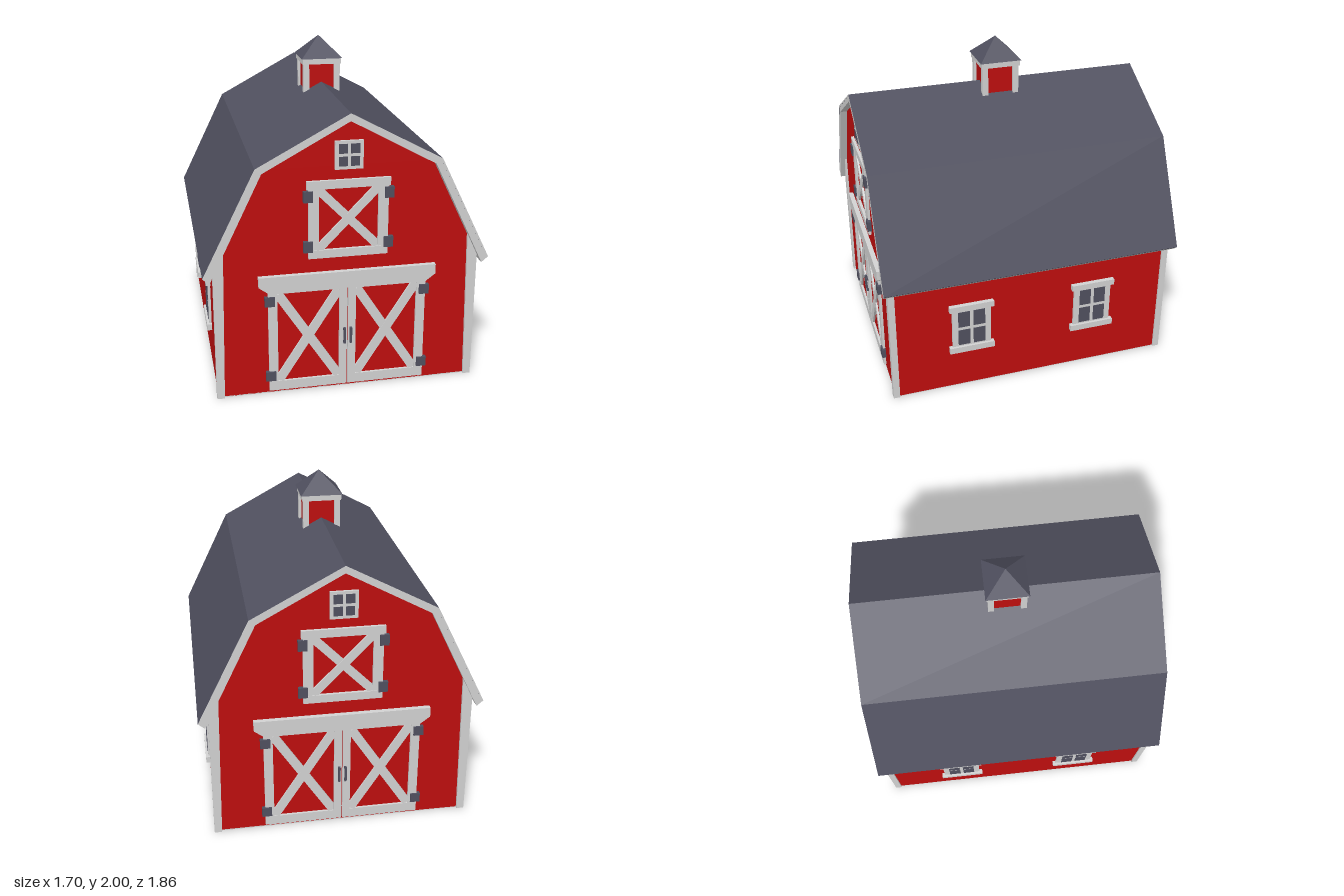
import * as THREE from 'three';

const material = (name, color) => {
  const m = new THREE.MeshStandardMaterial({ color });
  m.name = name;
  return m;
};

export function createModel() {
  const red = material('barn red', 0xbe0e0e);
  const white = material('trim white', 0xd2d2d2);
  const slate = material('slate', 0x50505f);

  const add = (parent, name, geometry, mat) => {
    const mesh = new THREE.Mesh(geometry, mat);
    mesh.name = name;
    parent.add(mesh);
    return mesh;
  };
  // Box given by its limits
  const box = (parent, name, mat, x0, x1, y0, y1, z0, z1) => {
    const mesh = add(parent, name, new THREE.BoxGeometry(x1 - x0, y1 - y0, z1 - z0), mat);
    mesh.position.set((x0 + x1) / 2, (y0 + y1) / 2, (z0 + z1) / 2);
    return mesh;
  };
  // Profile in x, y extruded from z0 to z1
  const prism = (parent, name, mat, points, z0, z1) => {
    const shape = new THREE.Shape(points.map(([x, y]) => new THREE.Vector2(x, y)));
    const mesh = add(parent, name,
      new THREE.ExtrudeGeometry(shape, { depth: z1 - z0, bevelEnabled: false }), mat);
    mesh.position.z = z0;
    return mesh;
  };
  // Diagonal board between two points
  const brace = (parent, x0, y0, x1, y1, width, z0, z1) => {
    const length = Math.hypot(x1 - x0, y1 - y0);
    const mesh = add(parent, 'brace', new THREE.BoxGeometry(length, width, z1 - z0), white);
    mesh.position.set((x0 + x1) / 2, (y0 + y1) / 2, (z0 + z1) / 2);
    mesh.rotation.z = Math.atan2(y1 - y0, x1 - x0);
  };
  const cross = (parent, x0, x1, y0, y1, width, z0, z1) => {
    brace(parent, x0, y0, x1, y1, width, z0, z1);
    brace(parent, x0, y1, x1, y0, width, z0, z1 - 0.001);
  };
  // Four slate panes on a white backing
  const panes = (parent, cx, cy, w, h, gap, z) => {
    for (const sx of [-1, 1]) for (const sy of [-1, 1]) {
      const x = cx + sx * (w + gap) / 4, y = cy + sy * (h + gap) / 4;
      const pw = (w - gap) / 4, ph = (h - gap) / 4;
      box(parent, 'windowPane', slate, x - pw, x + pw, y - ph, y + ph, z, z + 0.004);
    }
  };

  const barn = new THREE.Group();
  barn.name = 'barn';

  // Walls and floor
  const mirrored = (half) => [...half, ...half.slice(0, -1).reverse().map(([x, y]) => [-x, y])];
  prism(barn, 'walls', red,
    mirrored([[0.78, 0.004], [0.78, 0.85], [0.51, 1.41], [0, 1.685]]), -0.885, 0.885);
  box(barn, 'floor', white, -0.78, 0.78, 0, 0.006, -0.885, 0.885);

  // Gambrel roof: slate skin over a white fascia layer
  const outer = [[0.85, 0.8], [0.54, 1.43], [0, 1.72]];
  const middle = [[0.843, 0.793], [0.533, 1.421], [0, 1.709]];
  const inner = [[0.81, 0.765], [0.503, 1.4], [0, 1.675]];
  const shell = (a, b) => [...mirrored(a), ...mirrored(b).reverse()];
  prism(barn, 'roof', [white, slate], shell(outer, middle), -0.93, 0.93);
  prism(barn, 'fascia', white, shell(middle, inner), -0.929, 0.929);

  // Gable wall details, the same at both ends
  const gable = (name) => {
    const g = new THREE.Group();
    g.name = name;
    const z = 0.88;
    for (const s of [-1, 1]) {
      prism(g, 'cornerBoard', white,
        [[0.745, 0], [0.79, 0], [0.79, 0.83], [0.725, 0.95]].map(([x, y]) => [s * x, y]), 0.86, 0.9);

      // Barn door leaf
      const door = new THREE.Group();
      door.name = 'barnDoor';
      g.add(door);
      const sides = (a, b) => (s > 0 ? [a, b] : [-b, -a]);
      box(door, 'innerStile', white, ...sides(0.003, 0.05), 0.02, 0.7, z, 0.9);
      box(door, 'outerStile', white, ...sides(0.42, 0.475), 0.02, 0.7, z, 0.9);
      box(door, 'bottomRail', white, ...sides(0.05, 0.42), 0.02, 0.08, z, 0.9);
      box(door, 'topRail', white, ...sides(0.05, 0.42), 0.655, 0.7, z, 0.9);
      cross(door, ...sides(0.055, 0.415), 0.085, 0.65, 0.055, z, 0.898);
      for (const y of [0.12, 0.61]) {
        box(door, 'hinge', slate, ...sides(0.435, 0.495), y - 0.03, y + 0.03, z, 0.91);
      }
      // Door handle
      box(door, 'handleGrip', slate, ...sides(0.012, 0.026), 0.3, 0.4, 0.908, 0.916);
      for (const y of [0.308, 0.392]) {
        box(door, 'handleMount', slate, ...sides(0.012, 0.026), y - 0.008, y + 0.008, 0.9, 0.91);
      }

      // Loft hatch side
      box(g, 'hatchStile', white, ...sides(0.175, 0.235), 0.86, 1.33, z, 0.9);
      for (const y of [0.935, 1.24]) {
        box(g, 'hatchHinge', slate, ...sides(0.21, 0.265), y - 0.033, y + 0.033, z, 0.91);
      }
    }
    // Header over the barn doors
    prism(g, 'doorHeader', white,
      [[-0.47, 0.665], [0.47, 0.665], [0.53, 0.71], [0.53, 0.77], [-0.53, 0.77], [-0.53, 0.71]], z, 0.915);
    // Loft hatch rails and cross
    box(g, 'hatchTopRail', white, -0.245, 0.245, 1.28, 1.33, z, 0.903);
    box(g, 'hatchBottomRail', white, -0.235, 0.235, 0.86, 0.91, z, 0.903);
    cross(g, -0.175, 0.175, 0.915, 1.275, 0.05, z, 0.898);
    // Small gable window
    box(g, 'gableWindowFrame', white, -0.082, 0.082, 1.39, 1.557, z, 0.9);
    panes(g, 0, 1.474, 0.122, 0.13, 0.018, 0.899);
    return g;
  };
  barn.add(gable('frontGable'));
  const back = gable('backGable');
  back.rotation.y = Math.PI;
  barn.add(back);

  // Side walls: windows and corner boards
  for (const s of [-1, 1]) {
    const side = new THREE.Group();
    side.name = s > 0 ? 'leftSide' : 'rightSide';
    side.rotation.y = s * Math.PI / 2;
    barn.add(side);
    for (const c of [-0.395, 0.395]) {
      box(side, 'windowFrame', white, c - 0.122, c + 0.122, 0.29, 0.59, 0.77, 0.795);
      box(side, 'windowSill', white, c - 0.142, c + 0.142, 0.27, 0.31, 0.77, 0.81);
      box(side, 'windowHead', white, c - 0.14, c + 0.14, 0.572, 0.61, 0.77, 0.808);
      panes(side, c, 0.44, 0.17, 0.24, 0.022, 0.794);
    }
    for (const c of [-0.88, 0.88]) {
      box(side, 'sideCornerBoard', white, c - 0.019, c + 0.019, 0, 0.82, 0.77, 0.789);
    }
  }

  // Cupola
  const cupola = new THREE.Group();
  cupola.name = 'cupola';
  barn.add(cupola);
  box(cupola, 'cupolaWalls', red, -0.1, 0.1, 1.62, 1.85, -0.1, 0.1);
  for (const x of [-0.098, 0.098]) for (const z of [-0.098, 0.098]) {
    box(cupola, 'cupolaPost', white, x - 0.018, x + 0.018, 1.65, 1.85, z - 0.018, z + 0.018);
  }
  box(cupola, 'cupolaCornice', white, -0.122, 0.122, 1.835, 1.875, -0.122, 0.122);
  const cap = new THREE.ConeGeometry(0.13 * Math.SQRT2, 0.13, 4).toNonIndexed();
  cap.rotateY(Math.PI / 4);
  cap.computeVertexNormals();
  add(cupola, 'cupolaRoof', cap, slate).position.y = 1.935;

  return barn;
}
